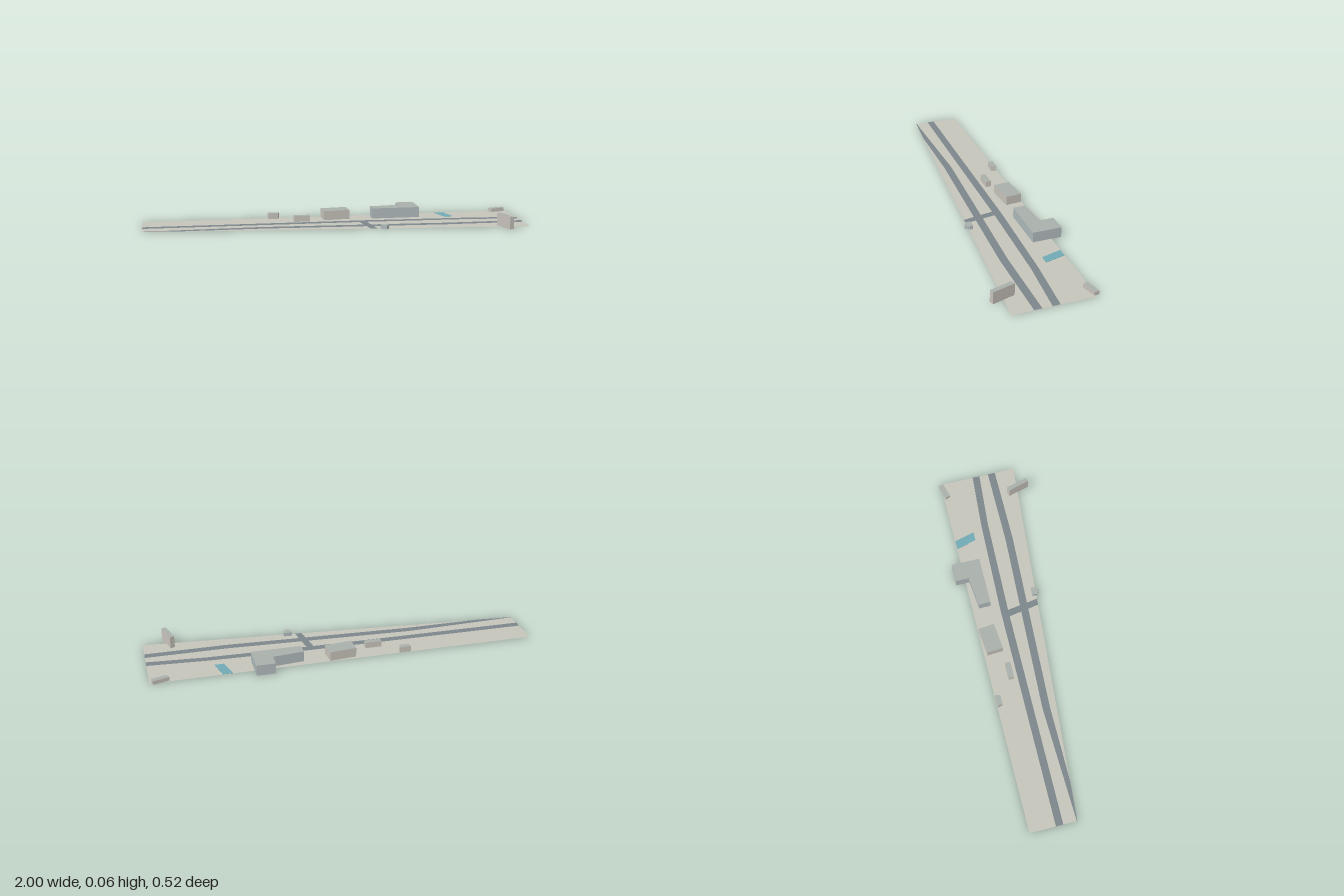
import * as THREE from 'three';

const paint = (color, side = THREE.FrontSide) => {
  const material = new THREE.MeshStandardMaterial({ side });
  material.color.set(color);
  return material;
};

// Plan outlines are lists of [x, z] corners seen from above.
const planShape = (points) => new THREE.Shape(points.map(([x, z]) => new THREE.Vector2(x, -z)));

function flat(name, points, y, material) {
  const geometry = new THREE.ShapeGeometry(planShape(points)).rotateX(-Math.PI / 2);
  const mesh = new THREE.Mesh(geometry, material);
  mesh.name = name;
  mesh.position.y = y;
  return mesh;
}

function block(name, points, height, materials) {
  const geometry = new THREE.ExtrudeGeometry(planShape(points), { depth: height, bevelEnabled: false });
  const mesh = new THREE.Mesh(geometry.rotateX(-Math.PI / 2), materials);
  mesh.name = name;
  return mesh;
}

export function createModel() {
  const model = new THREE.Group();
  model.name = 'sitePlan';

  const ground = paint(0xc4c4bb, THREE.DoubleSide);
  const road = paint(0x7c868a);
  const water = paint(0x6faab5);
  const roof = paint(0xa9b0ac);
  const stone = paint(0xc8c3bb);
  const blueGrey = paint(0xb0babc);

  // Tapering ground sheet
  model.add(flat('ground', [[-1, -0.21], [1, -0.21], [1, 0.21], [-1, 0.035]], 0.001, ground));

  // Two long roads and the link between them
  model.add(flat('backRoad', [
    [-1, -0.075], [0.18, -0.066], [0.7, -0.048], [1, -0.026],
    [1, 0.013], [0.7, -0.011], [0.18, -0.026], [-1, -0.037],
  ], 0.0022, road));
  model.add(flat('frontRoad', [
    [-1, 0.032], [-0.4, 0.014], [0.15, 0.04], [0.58, 0.061], [1, 0.062],
    [1, 0.102], [0.58, 0.101], [0.15, 0.08], [-0.4, 0.053], [-0.8, 0.0525], [-1, 0.035],
  ], 0.0022, road));
  model.add(flat('linkRoad', [[0.137, -0.03], [0.175, -0.03], [0.2, 0.139], [0.165, 0.137]], 0.0022, road));

  // Pool strip, visible on both faces of the ground
  model.add(block('water', [[0.59, -0.208], [0.64, -0.208], [0.668, -0.1], [0.62, -0.1]], 0.0022, water));

  // Buildings: name, plan, height, wall material
  const buildings = [
    ['smallShed', [[-0.337, -0.208], [-0.275, -0.208], [-0.283, -0.181], [-0.332, -0.181]], 0.031, stone],
    ['longShed', [[-0.205, -0.117], [-0.12, -0.117], [-0.12, -0.088], [-0.205, -0.088]], 0.032, stone],
    ['house', [[-0.048, -0.192], [0.091, -0.206], [0.099, -0.122], [-0.043, -0.107]], 0.05, stone],
    ['lShapedHall', [[0.222, -0.174], [0.383, -0.19], [0.383, -0.262], [0.481, -0.262],
      [0.481, -0.11], [0.222, -0.11]], 0.056, blueGrey],
    ['roadsideHut', [[0.22, 0.121], [0.262, 0.123], [0.262, 0.14], [0.245, 0.162], [0.22, 0.15]], 0.021, blueGrey],
    ['tallWall', [[0.838, 0.147], [0.861, 0.139], [0.893, 0.256], [0.87, 0.263]], 0.064, stone],
    ['cornerWall', [[0.902, -0.202], [0.985, -0.224], [0.99, -0.197], [0.913, -0.176]], 0.02, stone],
  ];
  for (const [name, plan, height, wall] of buildings) {
    model.add(block(name, plan, height, [roof, wall]));
  }
  return model;
}
